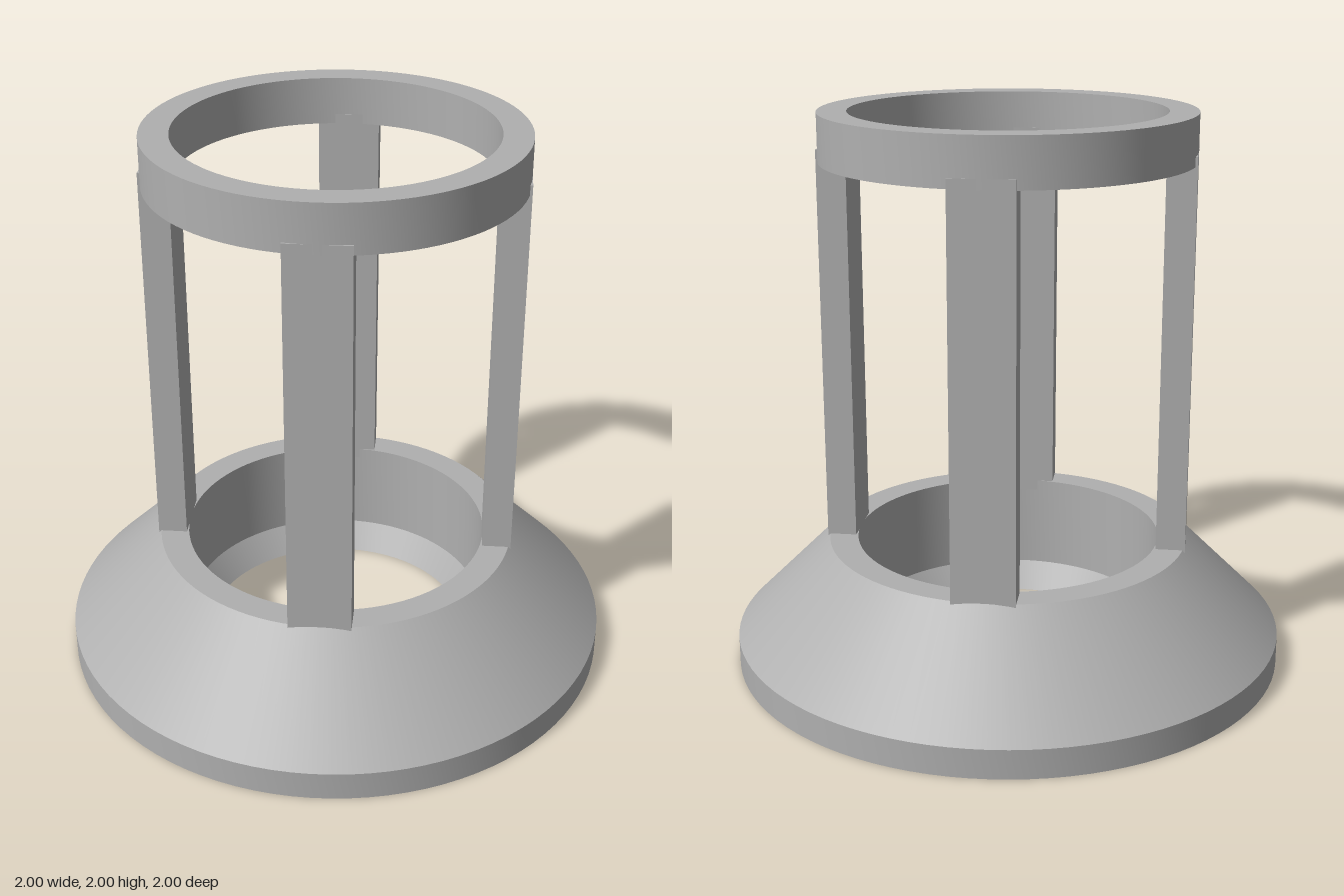
import * as THREE from 'three';
import { toCreasedNormals } from 'three/addons/utils/BufferGeometryUtils.js';

const grey = new THREE.MeshStandardMaterial({ color: 0xb0b0b0 });
grey.name = 'plain grey';

// Closed ring turned from [radius, y] points: up the outside, down the inside
function turned(name, profile) {
  const points = [...profile, profile[0]].map(([r, y]) => new THREE.Vector2(r, y));
  const geometry = toCreasedNormals(new THREE.LatheGeometry(points, 96), 0.4);
  const mesh = new THREE.Mesh(geometry, grey);
  mesh.name = name;
  return mesh;
}

export function createModel() {
  const model = new THREE.Group();
  model.name = 'ringStand';

  // Flared base with a bore that narrows at the bottom
  model.add(turned('base', [
    [1, 0], [1, 0.105], [0.655, 0.45], [0.552, 0.45], [0.552, 0.1], [0.485, 0],
  ]));

  // Top ring
  model.add(turned('topRing', [
    [0.655, 1.83], [0.655, 2], [0.552, 2], [0.552, 1.83],
  ]));

  // Four flat posts on the diagonals, sunk into the base and the ring
  const bottom = 0.41, top = 1.865;
  const postGeometry = new THREE.BoxGeometry(0.22, top - bottom, 0.105);
  for (let i = 0; i < 4; i++) {
    const angle = Math.PI / 4 + i * Math.PI / 2;
    const post = new THREE.Mesh(postGeometry, grey);
    post.name = 'post' + (i + 1);
    post.position.set(Math.sin(angle) * 0.602, (bottom + top) / 2, Math.cos(angle) * 0.602);
    post.rotation.y = angle;
    model.add(post);
  }
  return model;
}
